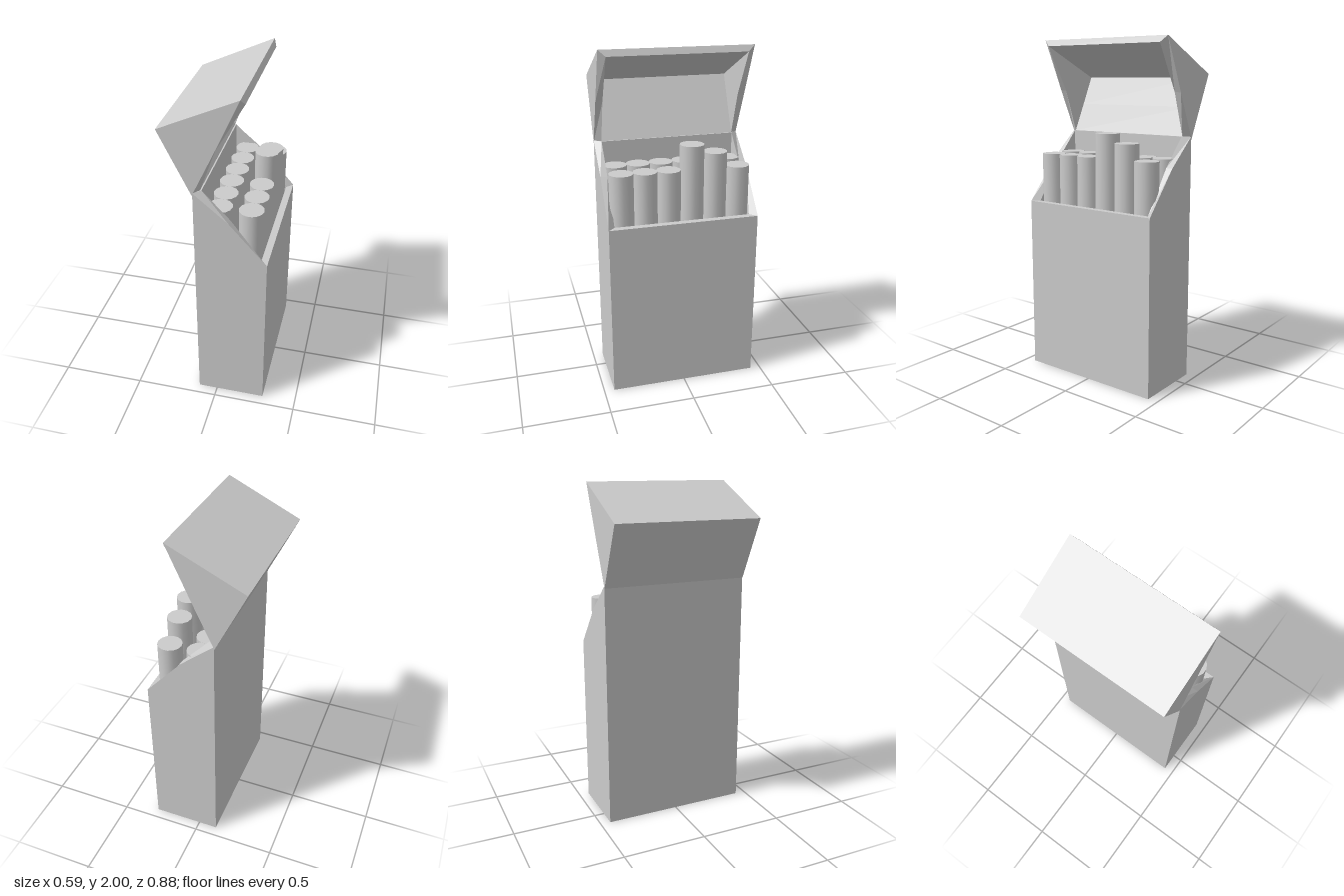
import * as THREE from 'three';

const W = 0.44, T = 0.04; // half width and wall thickness

// Open hollow box: outer and inner side profiles (counter-clockwise, in x-y).
// Points 0..3 are the walls; the opening runs 3 -> 4 (kink) -> 0.
function shell(name, outer, inner, material) {
  const pos = [], wi = W - T;
  const at = (p, z) => [p[0], p[1], z];
  const tri = (a, b, c) => pos.push(...a, ...b, ...c);
  const quad = (a, b, c, d) => { tri(a, b, c); tri(a, c, d); };

  // walls
  for (let i = 0; i < 3; i++) {
    const [a, b, c, d] = [outer[i], outer[i + 1], inner[i], inner[i + 1]];
    quad(at(a, W), at(a, -W), at(b, -W), at(b, W));
    quad(at(d, wi), at(d, -wi), at(c, -wi), at(c, wi));
  }
  // side panels, outside and inside
  for (const [i, j] of [[2, 3], [3, 4], [4, 0]]) {
    tri(at(outer[1], W), at(outer[i], W), at(outer[j], W));
    tri(at(outer[1], -W), at(outer[j], -W), at(outer[i], -W));
    tri(at(inner[1], wi), at(inner[j], wi), at(inner[i], wi));
    tri(at(inner[1], -wi), at(inner[i], -wi), at(inner[j], -wi));
  }
  // mitred rim
  for (const [i, j] of [[3, 4], [4, 0]]) {
    quad(at(outer[i], W), at(inner[i], wi), at(inner[j], wi), at(outer[j], W));
    quad(at(inner[i], -wi), at(outer[i], -W), at(outer[j], -W), at(inner[j], -wi));
  }
  quad(at(outer[3], W), at(outer[3], -W), at(inner[3], -wi), at(inner[3], wi));
  quad(at(inner[0], wi), at(inner[0], -wi), at(outer[0], -W), at(outer[0], W));

  const geo = new THREE.BufferGeometry();
  geo.setAttribute('position', new THREE.Float32BufferAttribute(pos, 3));
  geo.computeVertexNormals();
  const mesh = new THREE.Mesh(geo, material);
  mesh.name = name;
  return mesh;
}

export function createModel() {
  const group = new THREE.Group();
  group.name = 'openCarton';
  const card = new THREE.MeshStandardMaterial({ color: 0xcccccc, flatShading: true });
  const smooth = new THREE.MeshStandardMaterial({ color: 0xcccccc });

  // carton body with slanted opening
  group.add(shell('body',
    [[-0.115, 1.45], [-0.115, 0], [0.295, 0], [0.295, 1.04], [0.08, 1.285]],
    [[-0.075, 1.45], [-0.075, T], [0.255, T], [0.255, 1.04], [0.08, 1.285]], card));

  // lid tipped back on its hinge
  group.add(shell('lid',
    [[0.14, 2], [-0.295, 1.8], [-0.118, 1.435], [0.005, 1.7]].toSpliced(3, 0, [-0.118, 1.435]).length && 
    [[0.14, 2], [-0.295, 1.8], [-0.207, 1.618], [-0.118, 1.435], [0.005, 1.7]],
    [[0.157, 1.964], [-0.242, 1.78], [-0.163, 1.614], [-0.083, 1.45], [0.005, 1.7]], card));

  // two rows of sticks, a few of them pulled up
  const rows = [
    { x: 0.185, tops: [1.33, 1.42, 1.47, 1.33, 1.33, 1.33] },
    { x: 0.01, tops: [1.33, 1.33, 1.33, 1.33, 1.33, 1.33] },
  ];
  for (const { x, tops } of rows) {
    tops.forEach((top, i) => {
      const length = 1.33 - T;
      const geo = new THREE.CylinderGeometry(0.07, 0.07, length, 14);
      geo.rotateY(Math.PI / 2);
      const stick = new THREE.Mesh(geo, smooth);
      stick.name = 'stick';
      stick.position.set(x, top - length / 2, (i - 2.5) * 0.137);
      group.add(stick);
    });
  }
  return group;
}
